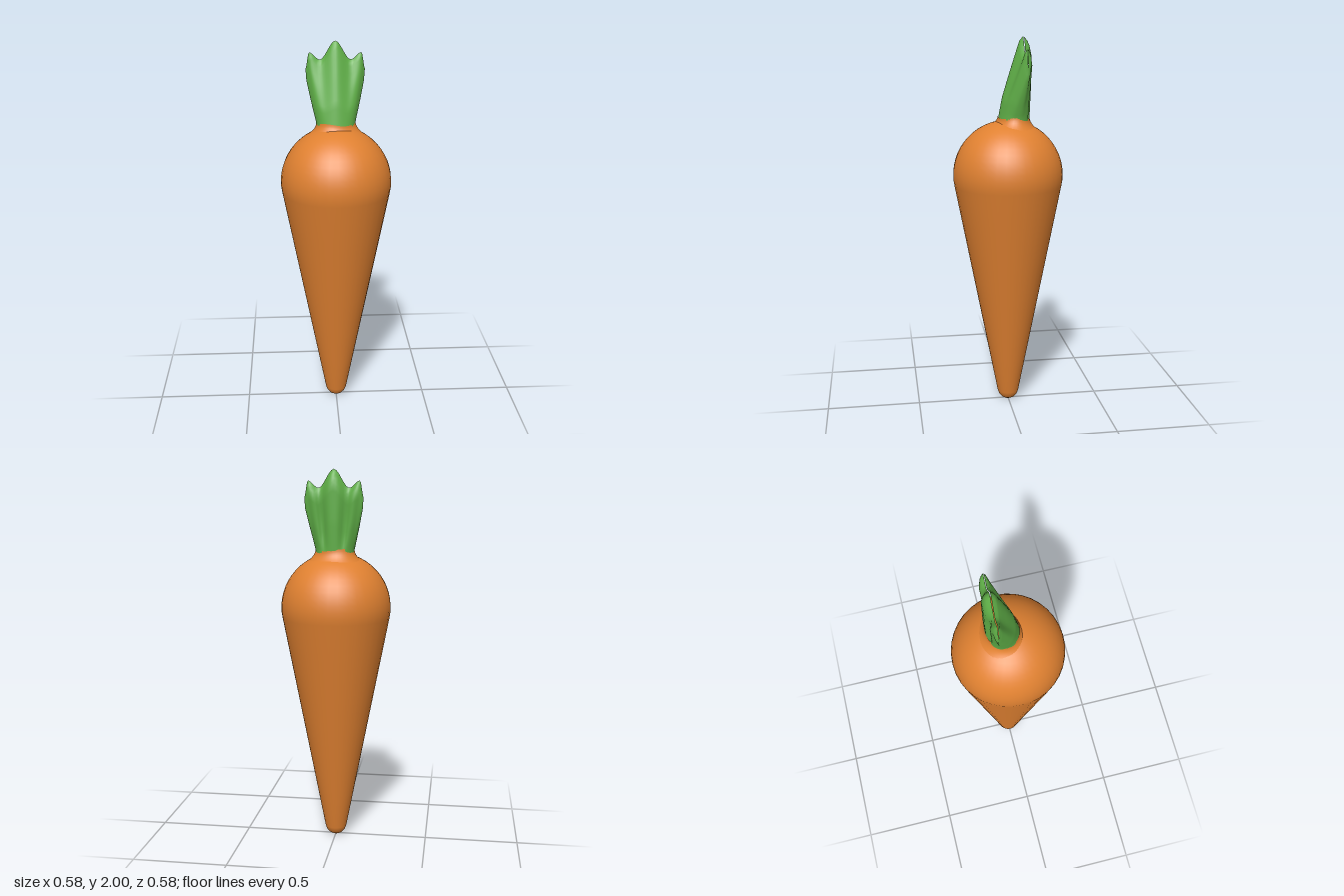
import * as THREE from 'three';

const orange = new THREE.MeshStandardMaterial({ color: 0xe08131 });
orange.name = 'carrot orange';
const green = new THREE.MeshStandardMaterial({ color: 0x5fae47 });
green.name = 'leaf green';

// Smoothly interpolates a list of [position, value] pairs
function ramp(keys, t) {
  for (let i = 1; i < keys.length; i++) {
    const [t0, a] = keys[i - 1], [t1, b] = keys[i];
    if (t <= t1) return THREE.MathUtils.lerp(a, b, THREE.MathUtils.smoothstep(t, t0, t1));
  }
  return keys[keys.length - 1][1];
}

// Piecewise straight version of ramp
function line(keys, t) {
  for (let i = 1; i < keys.length; i++) {
    const [t0, a] = keys[i - 1], [t1, b] = keys[i];
    if (t <= t1) return a + (b - a) * (t - t0) / (t1 - t0);
  }
  return keys[keys.length - 1][1];
}

// Smooth skin over closed rings; point(angle, v) returns [x, y, z]
function loft(point, around, up) {
  const pos = [], index = [];
  for (let j = 0; j <= up; j++) {
    for (let i = 0; i < around; i++) pos.push(...point(i / around * Math.PI * 2, j / up));
  }
  for (let j = 0; j < up; j++) {
    for (let i = 0; i < around; i++) {
      const n = (i + 1) % around;
      const a = j * around + i, b = j * around + n, c = a + around, d = b + around;
      index.push(a, c, b, b, c, d);
    }
  }
  const g = new THREE.BufferGeometry();
  g.setAttribute('position', new THREE.Float32BufferAttribute(pos, 3));
  g.setIndex(index);
  g.computeVertexNormals();
  return g;
}

// Tapered body with a rounded tip and a domed shoulder
function rootGeometry() {
  const p = [[0, 0], [0.018, 0.002], [0.036, 0.012], [0.05, 0.028], [0.058, 0.05]];
  for (let i = 1; i <= 6; i++) p.push([0.058 + 0.227 * i / 6, 0.05 + 1.175 * i / 6]);
  const R = 0.291;
  for (let i = 0; i <= 14; i++) {
    const a = -0.08 + (Math.PI / 2 + 0.08) * i / 14;
    p.push([Math.max(0, R * Math.cos(a)), 1.28 + R * Math.sin(a)]);
  }
  return new THREE.LatheGeometry(p.map(([x, y]) => new THREE.Vector2(x, y)), 36);
}

// Flared rim where the leaves leave the root
function collarPoint(a, v) {
  const flare = (1 - v) * (1 - v);
  const y = 1.515 + 0.075 * v + 0.006 * v * Math.cos(3 * a);
  return [(0.102 + 0.06 * flare) * Math.cos(a), y, -0.03 + 0.015 * flare + (0.083 + 0.065 * flare) * Math.sin(a)];
}

// Three-pointed leaf tuft: flat curved front, grooved back, thin top edge
const topHeight = [[0, 2.0], [0.52, 1.905], [0.88, 1.942], [1, 1.86]];
const halfWidth = [[0, 0.1], [0.1, 0.102], [0.5, 0.13], [0.8, 0.149], [1, 0.153]];
const frontZ = [[0, 0.055], [0.3, 0.03], [0.6, -0.01], [0.85, -0.045], [0.95, -0.06], [1, -0.078]];
const backZ = [[0, -0.112], [0.4, -0.119], [0.8, -0.12], [0.93, -0.108], [1, -0.082]];
function leafPoint(a, v) {
  const s = Math.cos(a), q = Math.sin(a);
  const y = 1.56 + v * (ramp(topHeight, Math.abs(s)) - 1.56);
  const f = line(frontZ, v), b = line(backZ, v);
  const mid = (f + b) / 2;
  const groove = Math.exp(-Math.pow((Math.abs(s) - 0.45) / 0.16, 2)) * Math.sin(Math.PI * Math.min(v, 0.8) / 1.6);
  const depth = q > 0 ? f - mid : (mid - b) * (1 - 0.55 * groove);
  const z = mid + Math.sign(q) * Math.pow(Math.abs(q), 0.85) * depth;
  return [line(halfWidth, v) * s, y, z];
}

export function createModel() {
  const model = new THREE.Group();
  model.name = 'carrot';
  const add = (name, geometry, material) => {
    const mesh = new THREE.Mesh(geometry, material);
    mesh.name = name;
    model.add(mesh);
  };
  add('root', rootGeometry(), orange);
  add('collar', loft(collarPoint, 36, 8), orange);
  add('leaves', loft(leafPoint, 72, 20), green);
  return model;
}
